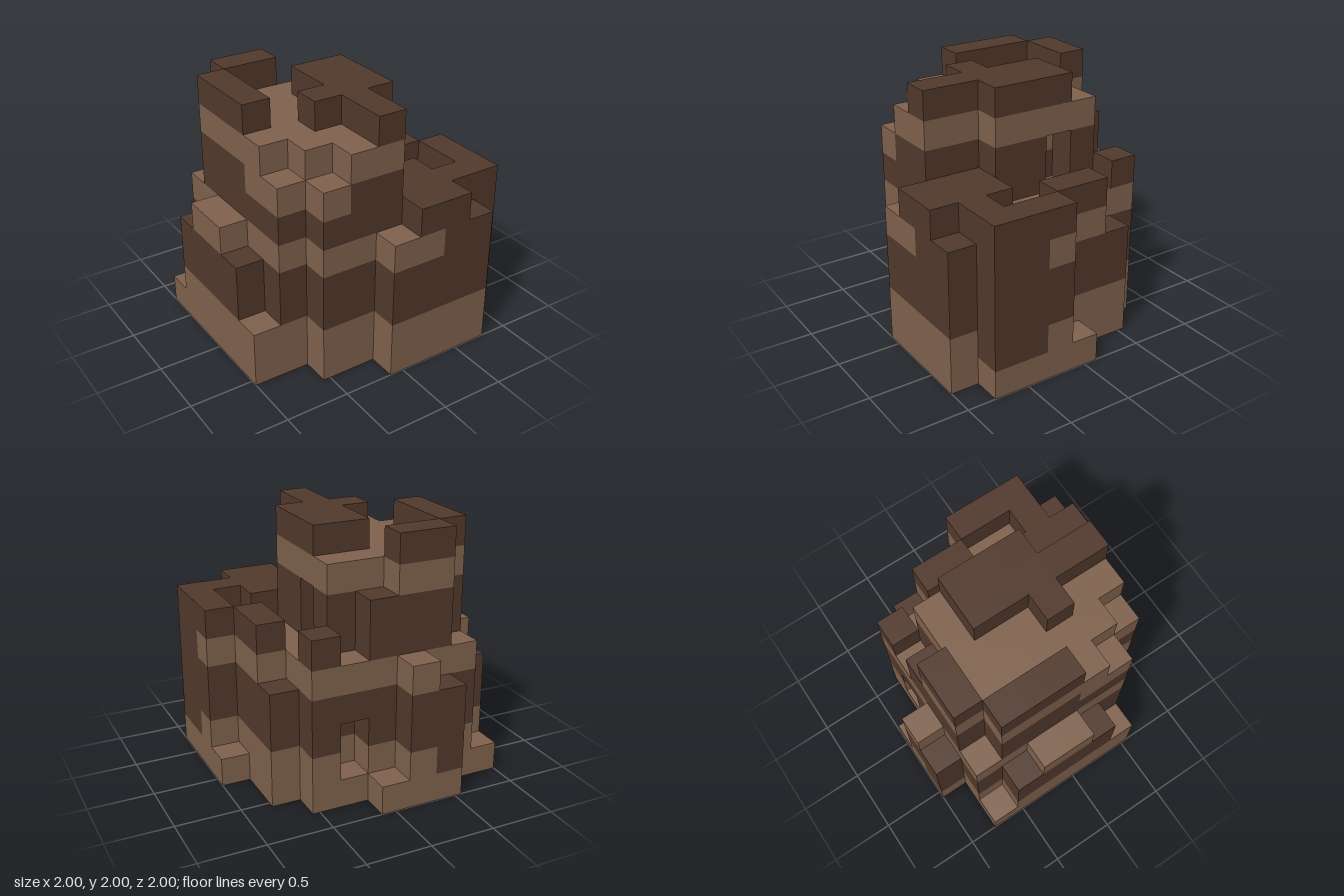
import * as THREE from 'three';
import { mergeGeometries } from 'three/addons/utils/BufferGeometryUtils.js';

const N = 9, S = 2 / N;

// Column heights in blocks: one row per z step (back to front), one digit per x step
const HEIGHTS = [
  '004510000',
  '159975600',
  '498888540',
  '598899560',
  '598899561',
  '488999556',
  '278896656',
  '007896666',
  '000056650',
];

// Horizontal bands from the ground up: L = light, D = dark
const BANDS = 'LLDDLDDLD';

// Blocks (x, y, z) carved out below the column tops
const HOLES = new Set(['5,1,1', '5,2,1', '5,5,3', '5,6,3']);

// Blocks whose colour breaks the band
const SWAPPED = new Set([
  '8,1,6', '8,1,7', '8,4,6', '8,4,7', '6,4,8', '7,4,8', // dark streak at the front corner
  '2,1,0',                                             // dark root at the back
  '1,6,5', '1,6,6', '2,6,7', '4,6,3',                  // light patches near the top
]);

const solid = (x, y, z) =>
  x >= 0 && x < N && z >= 0 && z < N && y >= 0 &&
  y < Number(HEIGHTS[z][x]) && !HOLES.has(`${x},${y},${z}`);

const colourOf = (x, y, z) => {
  const dark = BANDS[y] === 'D';
  return dark !== SWAPPED.has(`${x},${y},${z}`) ? 'dark' : 'light';
};

// Six block sides: outward direction and the turn that points a plane that way
const Q = Math.PI / 2;
const SIDES = [
  [0, 0, 1, 0, 0], [0, 0, -1, 0, 2 * Q],
  [1, 0, 0, 0, Q], [-1, 0, 0, 0, -Q],
  [0, 1, 0, -Q, 0], [0, -1, 0, Q, 0],
];

// Outer faces of one block
function blockFaces(x, y, z) {
  const faces = [];
  for (const [dx, dy, dz, rx, ry] of SIDES) {
    if (solid(x + dx, y + dy, z + dz)) continue;
    faces.push(new THREE.PlaneGeometry(S, S).rotateX(rx).rotateY(ry).translate(
      (x + 0.5 + dx / 2) * S - 1,
      (y + 0.5 + dy / 2) * S,
      (z + 0.5 + dz / 2) * S - 1,
    ));
  }
  return faces;
}

export function createModel() {
  const model = new THREE.Group();
  model.name = 'blockMound';
  const materials = {
    light: new THREE.MeshStandardMaterial({ color: 0x80624d }),
    dark: new THREE.MeshStandardMaterial({ color: 0x52392c }),
  };
  materials.light.name = 'lightBrown';
  materials.dark.name = 'darkBrown';

  // One mesh per layer and colour
  for (let y = 0; y < N; y++) {
    const faces = { light: [], dark: [] };
    for (let z = 0; z < N; z++) {
      for (let x = 0; x < N; x++) {
        if (solid(x, y, z)) faces[colourOf(x, y, z)].push(...blockFaces(x, y, z));
      }
    }
    for (const colour of ['light', 'dark']) {
      if (!faces[colour].length) continue;
      const mesh = new THREE.Mesh(mergeGeometries(faces[colour]), materials[colour]);
      mesh.name = `${colour}Layer${y + 1}`;
      model.add(mesh);
    }
  }
  return model;
}
